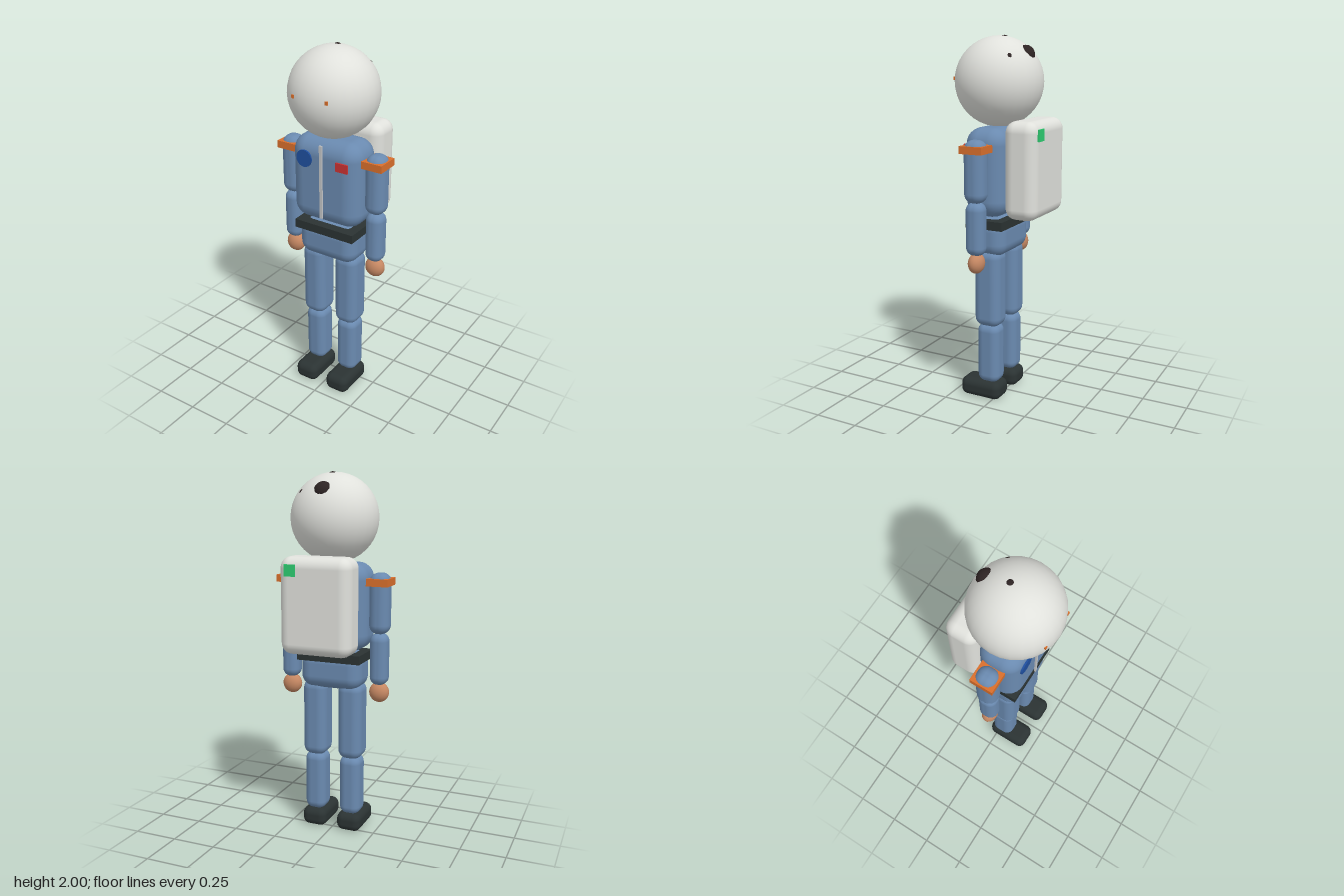
import * as THREE from 'three';
import { RoundedBoxGeometry } from 'three/addons/geometries/RoundedBoxGeometry.js';

function material(name, color) {
  const m = new THREE.MeshStandardMaterial({ color });
  m.name = name;
  return m;
}

export function createModel() {
  const suit = material('suit blue', 0x6a8ab0);
  const white = material('shell white', 0xe0e1dc);
  const black = material('boot black', 0x2b3333);
  const skin = material('skin', 0xc68863);
  const orange = material('trim orange', 0xd96f2c);
  const blue = material('badge blue', 0x1f4f9f);
  const red = material('badge red', 0xcc3333);
  const green = material('light green', 0x2ecc71);
  const hair = material('hair brown', 0x2e2424);
  const silver = material('zip silver', 0xc4c6c8);

  const astronaut = new THREE.Group();
  astronaut.name = 'astronaut';
  const Z = 0.033; // body centre line

  function add(name, geometry, mat, x, y, z, parent = astronaut) {
    const mesh = new THREE.Mesh(geometry, mat);
    mesh.name = name;
    mesh.position.set(x, y, z);
    parent.add(mesh);
    return mesh;
  }
  const box = (w, h, d) => new THREE.BoxGeometry(w, h, d);
  const soft = (w, h, d, r) => new RoundedBoxGeometry(w, h, d, 4, r);

  // Helmet
  const helmetY = 1.762, helmetR = 0.238;
  add('helmet', new THREE.SphereGeometry(helmetR, 28, 20), white, 0, helmetY, Z);

  // Hair tufts showing through the helmet: direction, tuft radius, depth of centre
  [
    [0, 0.67, -0.74, 0.05, 0.03],
    [0, 0.99, -0.14, 0.03, 0.026],
    [0.59, 0.59, -0.56, 0.03, 0.0285],
  ].forEach(([x, y, z, r, depth]) => {
    const p = new THREE.Vector3(x, y, z).normalize().multiplyScalar(helmetR - depth);
    add('hairTuft', new THREE.SphereGeometry(r, 14, 10), hair, p.x, p.y + helmetY, p.z + Z);
  });

  // Torso, hips and belt
  add('torso', soft(0.418, 0.477, 0.24, 0.09), suit, 0, 1.292, Z + 0.002);
  add('hips', soft(0.356, 0.21, 0.21, 0.07), suit, 0, 0.938, Z + 0.002);
  add('belt', box(0.366, 0.048, 0.22), black, 0, 1.015, Z + 0.002);

  // Chest details
  add('zip', box(0.016, 0.41, 0.009), silver, 0, 1.305, 0.16);
  add('redPatch', box(0.072, 0.048, 0.009), red, 0.126, 1.416, 0.159);
  const badge = add('roundBadge', new THREE.CylinderGeometry(0.047, 0.047, 0.009, 24), blue, -0.105, 1.419, 0.158);
  badge.rotation.x = Math.PI / 2;

  // Life support pack
  add('backpack', soft(0.4, 0.517, 0.185, 0.06), white, 0, 1.315, -0.177);
  add('packLight', box(0.062, 0.062, 0.009), green, 0.126, 1.505, -0.2725);

  // Limbs, mirrored left and right
  for (const side of [1, -1]) {
    const arm = new THREE.Group();
    arm.name = side > 0 ? 'leftArm' : 'rightArm';
    astronaut.add(arm);
    const armX = side * 0.262;
    add('upperArm', soft(0.112, 0.33, 0.118, 0.05), suit, armX, 1.315, Z, arm);
    add('shoulderBand', box(0.12, 0.04, 0.13), orange, armX, 1.431, Z, arm);
    add('forearm', soft(0.1, 0.286, 0.106, 0.045), suit, armX, 1.012, Z, arm);
    const hand = add('hand', new THREE.SphereGeometry(1, 20, 14), skin, armX, 0.826, Z, arm);
    hand.scale.set(0.056, 0.056, 0.043);

    const leg = new THREE.Group();
    leg.name = side > 0 ? 'leftLeg' : 'rightLeg';
    astronaut.add(leg);
    const legX = side * 0.105;
    add('thigh', soft(0.138, 0.44, 0.155, 0.05), suit, legX, 0.65, Z + 0.002, leg);
    add('shin', soft(0.122, 0.345, 0.132, 0.045), suit, legX, 0.27, Z, leg);
    add('boot', soft(0.143, 0.105, 0.246, 0.04), black, legX, 0.0525, 0.077, leg);

    // Small orange tabs on the helmet front
    add('helmetTab', box(0.014, 0.018, 0.03), orange, side * 0.098, 1.777, 0.238);
  }
  return astronaut;
}
